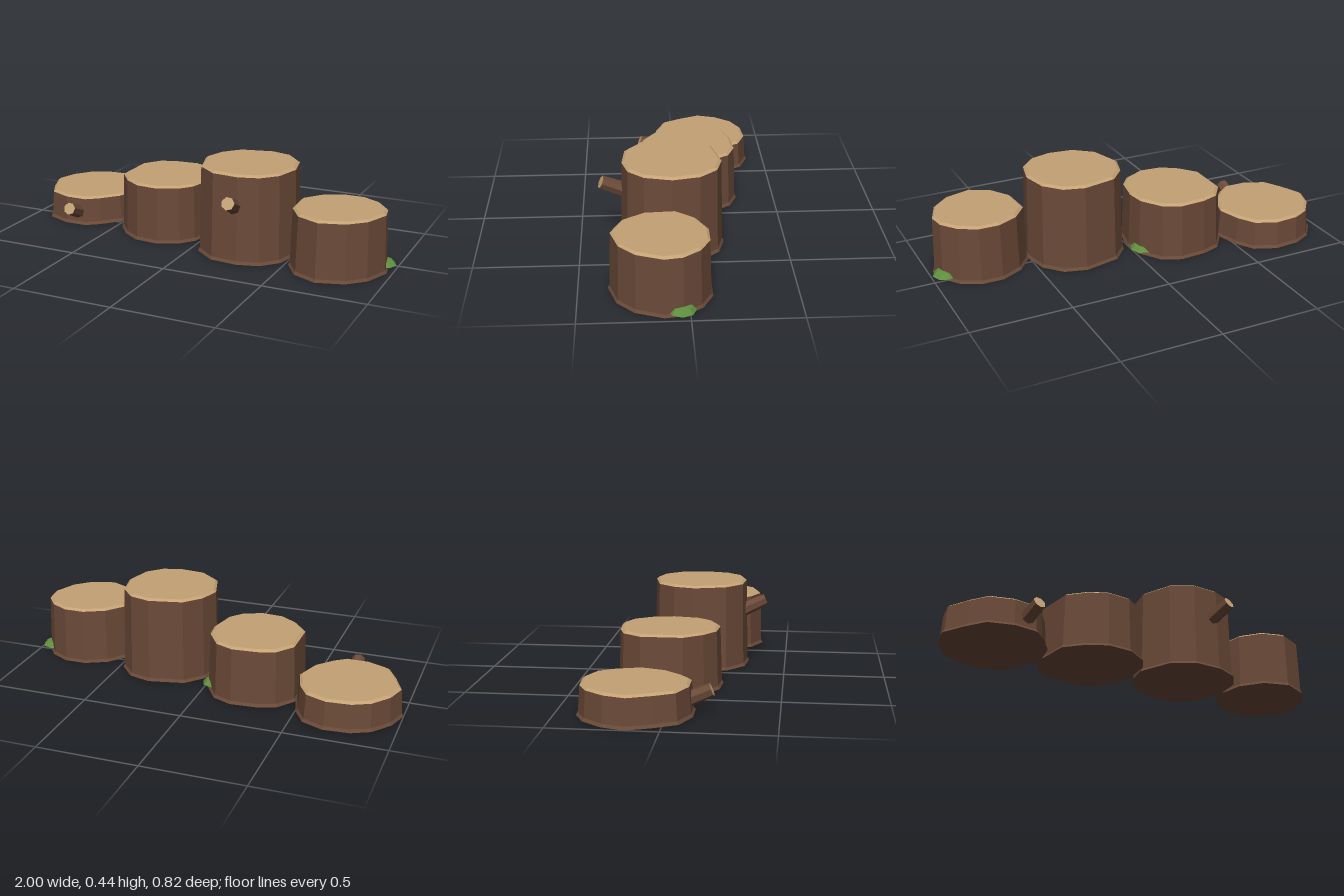
import * as THREE from 'three';

const material = (name, color) => {
  const m = new THREE.MeshStandardMaterial({ color, flatShading: true });
  m.name = name;
  return m;
};

// Uneven log outlines at ground level, as [x, z], clockwise from above
const STUMPS = [
  { name: 'lowStump', height: 0.147, outline: [[-1, -0.15], [-0.965, -0.26], [-0.89, -0.355], [-0.8, -0.4], [-0.67, -0.41], [-0.56, -0.365], [-0.505, -0.275], [-0.468, -0.15], [-0.51, -0.02], [-0.59, 0.07], [-0.655, 0.12], [-0.775, 0.12], [-0.895, 0.07], [-0.95, -0.03]] },
  { name: 'middleStump', height: 0.293, outline: [[-0.475, -0.17], [-0.405, -0.265], [-0.315, -0.295], [-0.18, -0.305], [-0.085, -0.265], [-0.01, -0.15], [0.003, -0.05], [-0.025, 0.09], [-0.08, 0.16], [-0.185, 0.21], [-0.31, 0.2], [-0.4, 0.14], [-0.475, 0.045]] },
  { name: 'tallStump', height: 0.44, outline: [[-0.005, 0.045], [0.03, -0.07], [0.11, -0.16], [0.29, -0.2], [0.4, -0.17], [0.48, -0.08], [0.51, 0.06], [0.475, 0.2], [0.4, 0.28], [0.29, 0.31], [0.15, 0.295], [0.045, 0.21]] },
  { name: 'endStump', height: 0.293, outline: [[0.505, 0.04], [0.58, -0.055], [0.69, -0.11], [0.8, -0.11], [0.895, -0.06], [0.96, 0.025], [0.975, 0.115], [0.925, 0.245], [0.84, 0.325], [0.705, 0.365], [0.585, 0.31], [0.515, 0.2]] },
];

// Skins stacked [y, scale] copies of an outline, with optional flat ends
function stack(outline, levels, capBottom, capTop) {
  const mid = (k) => {
    const v = outline.map((p) => p[k]);
    return (Math.min(...v) + Math.max(...v)) / 2;
  };
  const cx = mid(0), cz = mid(1), n = outline.length, pos = [];
  const at = (i, [y, s]) => [cx + (outline[i % n][0] - cx) * s, y, cz + (outline[i % n][1] - cz) * s];
  const tri = (...points) => points.forEach((p) => pos.push(...p));
  const first = levels[0], last = levels[levels.length - 1];
  for (let i = 0; i < n; i++) {
    for (let j = 0; j + 1 < levels.length; j++) {
      const a0 = at(i, levels[j]), b0 = at(i + 1, levels[j]);
      const a1 = at(i, levels[j + 1]), b1 = at(i + 1, levels[j + 1]);
      tri(b0, a0, a1);
      tri(b0, a1, b1);
    }
    if (capBottom) tri([cx, first[0], cz], at(i, first), at(i + 1, first));
    if (capTop) tri([cx, last[0], cz], at(i + 1, last), at(i, last));
  }
  const geometry = new THREE.BufferGeometry();
  geometry.setAttribute('position', new THREE.Float32BufferAttribute(pos, 3));
  geometry.computeVertexNormals();
  return geometry;
}

export function createModel() {
  const model = new THREE.Group();
  model.name = 'steppingStumps';
  const bark = material('bark', 0x6b4a38);
  const wood = material('cutWood', 0xc4a274);
  const moss = material('moss', 0x5f8f3e);

  const add = (parent, name, geometry, mat) => {
    const mesh = new THREE.Mesh(geometry, mat);
    mesh.name = name;
    parent.add(mesh);
    return mesh;
  };

  // Stumps: flared bark body with a bevelled cut top
  for (const { name, height, outline } of STUMPS) {
    const group = new THREE.Group();
    group.name = name;
    const shoulder = [height - 0.01, 0.932];
    add(group, 'barkBody', stack(outline, [[0, 1], [0.014, 0.965], shoulder], true, false), bark);
    add(group, 'cutTop', stack(outline, [shoulder, [height, 0.88]], false, true), wood);
    model.add(group);
  }

  // Sawn-off branches, angled up and forward
  const branch = (name, from, to) => {
    const start = new THREE.Vector3(...from), end = new THREE.Vector3(...to);
    const dir = end.clone().sub(start);
    const mesh = add(model, name, new THREE.CylinderGeometry(0.032, 0.038, dir.length(), 7), [bark, wood, bark]);
    mesh.position.copy(start).add(end).multiplyScalar(0.5);
    mesh.quaternion.setFromUnitVectors(new THREE.Vector3(0, 1, 0), dir.normalize());
  };
  branch('lowBranch', [-0.705, 0.05, 0.06], [-0.7, 0.108, 0.196]);
  branch('tallBranch', [0.262, 0.265, 0.25], [0.285, 0.33, 0.393]);

  // Moss clumps: domed above, shallow below
  const clump = (name, x, z) => {
    const geometry = new THREE.SphereGeometry(0.065, 8, 4);
    const p = geometry.attributes.position;
    for (let i = 0; i < p.count; i++) {
      const y = p.getY(i);
      p.setY(i, y * (y > 0 ? 0.45 : 0.2));
    }
    geometry.computeVertexNormals();
    add(model, name, geometry, moss).position.set(x, 0.016, z);
  };
  clump('endMoss', 0.933, 0.037);
  clump('middleMoss', -0.047, -0.13);

  return model;
}
